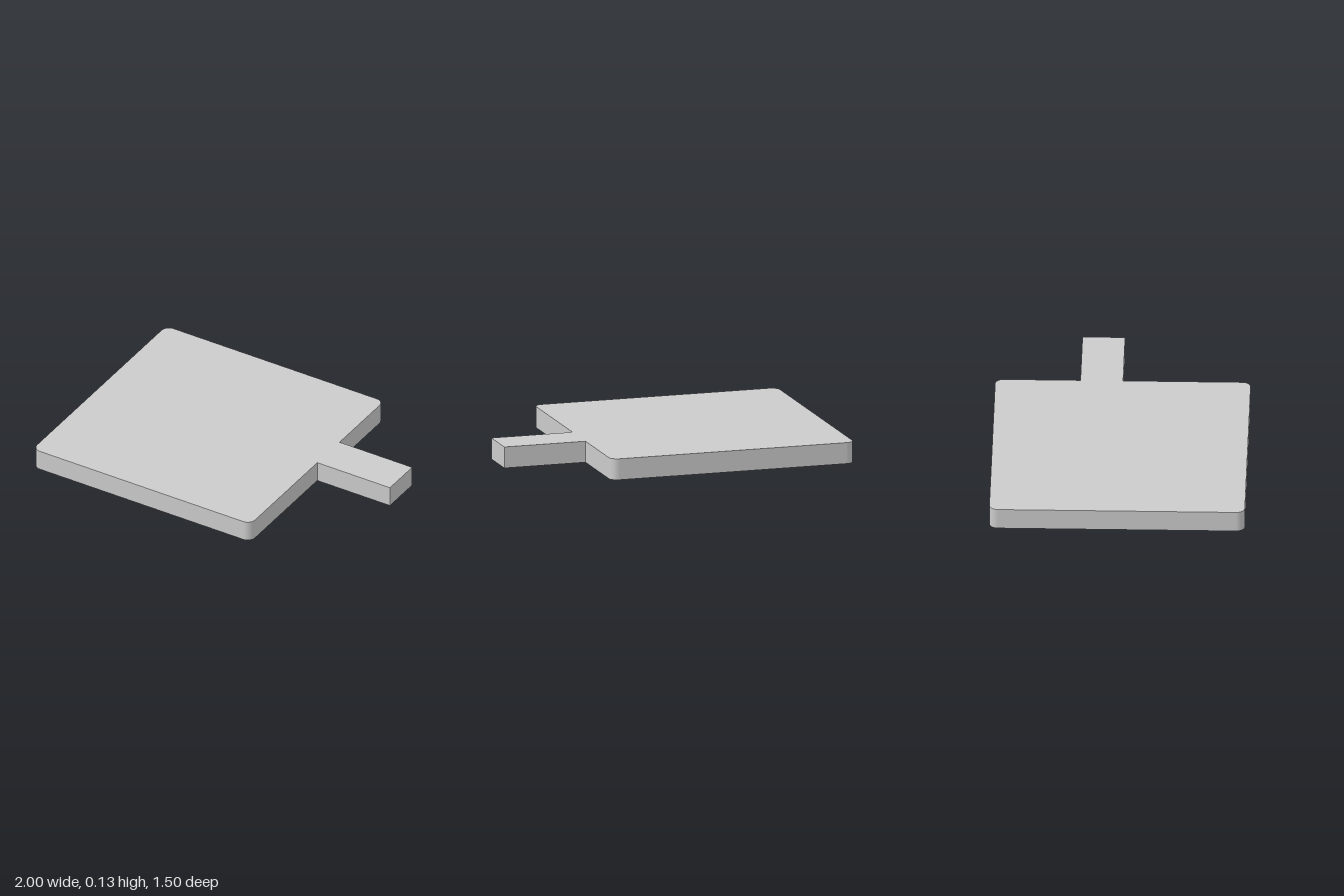
import * as THREE from 'three';

const THICKNESS = 0.127;
const RADIUS = 0.05;

export function createModel() {
  const group = new THREE.Group();
  group.name = 'boardWithHandle';

  // Plan outline, drawn counter-clockwise with shape y = -z
  const left = -1, right = 0.5, half = 0.75, r = RADIUS;
  const outline = new THREE.Shape();
  outline.moveTo(left + r, -half);
  outline.absarc(right - r, -half + r, r, -Math.PI / 2, 0);
  // Offset rectangular handle
  outline.lineTo(right, 0);
  outline.lineTo(1, 0);
  outline.lineTo(1, 0.25);
  outline.lineTo(right, 0.25);
  // Remaining rounded corners
  outline.absarc(right - r, half - r, r, 0, Math.PI / 2);
  outline.absarc(left + r, half - r, r, Math.PI / 2, Math.PI);
  outline.absarc(left + r, -half + r, r, Math.PI, Math.PI * 1.5);

  // Flat slab lying on the ground
  const geometry = new THREE.ExtrudeGeometry(outline, {
    depth: THICKNESS,
    bevelEnabled: false,
    curveSegments: 6,
  });
  geometry.rotateX(-Math.PI / 2);

  const board = new THREE.Mesh(geometry, new THREE.MeshStandardMaterial({ color: 0xcccccc }));
  board.name = 'board';
  group.add(board);
  return group;
}
